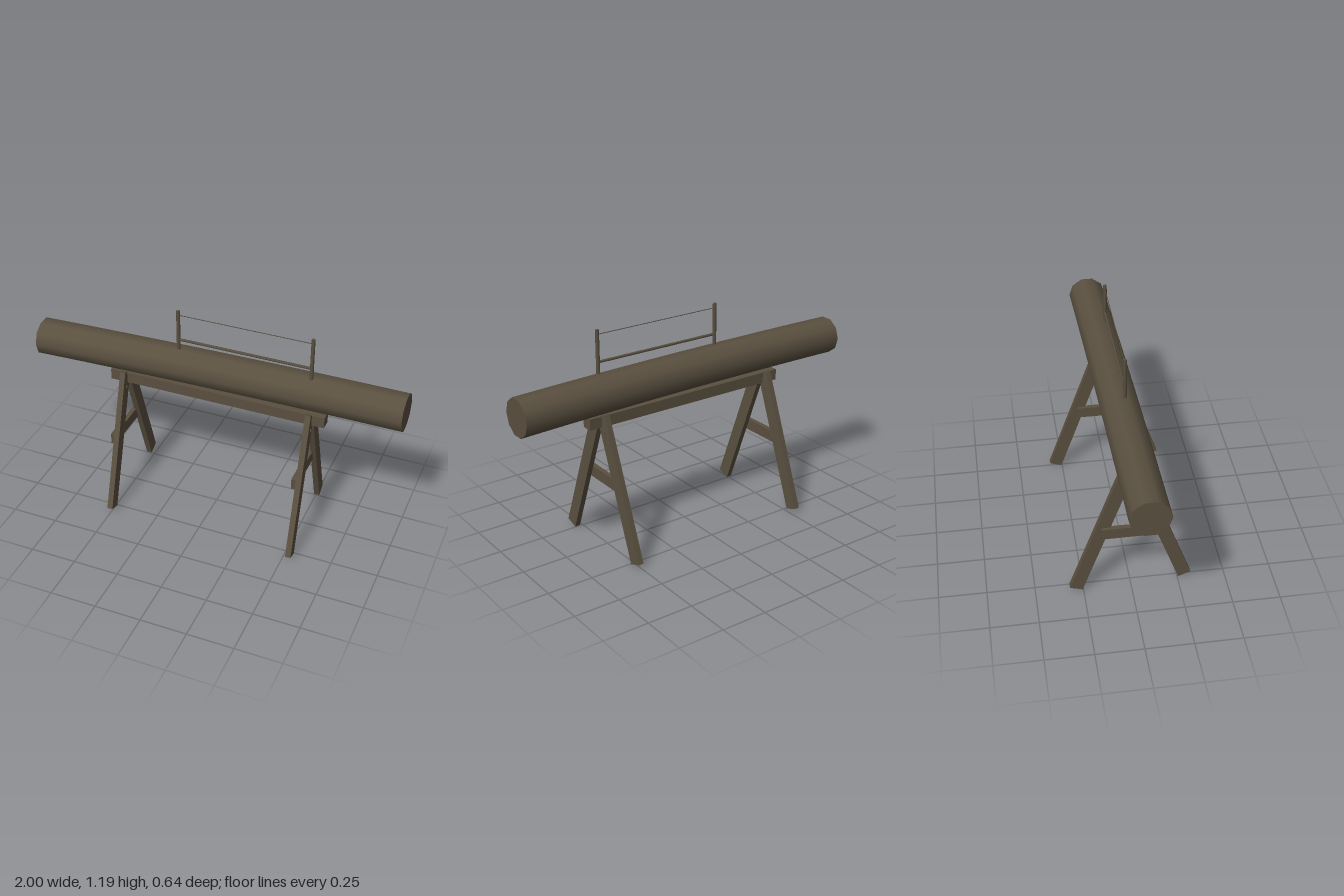
import * as THREE from 'three';

export function createModel() {
  const model = new THREE.Group();
  model.name = 'logOnTrestles';
  const wood = new THREE.MeshStandardMaterial({ color: 0x5a5040 });
  wood.name = 'weatheredWood';

  function add(parent, name, geometry, x, y, z) {
    const mesh = new THREE.Mesh(geometry, wood);
    mesh.name = name;
    mesh.position.set(x, y, z);
    parent.add(mesh);
    return mesh;
  }
  const box = (w, h, d) => new THREE.BoxGeometry(w, h, d);

  // Ten-sided log, gently bowed upward and skewed sideways
  const logGeometry = new THREE.CylinderGeometry(0.102, 0.102, 2, 10, 8).rotateZ(Math.PI / 2);
  const p = logGeometry.attributes.position;
  for (let i = 0; i < p.count; i++) {
    const x = p.getX(i);
    p.setY(i, p.getY(i) + 0.867 - 0.01 * x * x);
    p.setZ(i, p.getZ(i) - 0.004 - 0.0205 * x - 0.002 * x * x);
  }
  add(model, 'log', logGeometry, 0, 0, 0);

  // Beam resting between the two trestles
  add(model, 'beam', box(1.2, 0.06, 0.06), 0, 0.718, 0);

  // Trestles: splayed legs set slightly askew, a cross brace and two pegs
  const splay = THREE.MathUtils.degToRad(20);
  for (const x of [-0.521, 0.517]) {
    const trestle = new THREE.Group();
    trestle.name = x < 0 ? 'rightTrestle' : 'leftTrestle';
    trestle.position.x = x;
    model.add(trestle);
    const legs = new THREE.Group();
    legs.name = 'legs';
    legs.rotation.y = Math.atan(0.05);
    trestle.add(legs);
    for (const s of [1, -1]) {
      const leg = add(legs, s > 0 ? 'frontLeg' : 'backLeg', box(0.03, 0.78, 0.07), 0, 0.382, s * 0.155);
      leg.rotation.x = -s * splay;
      const peg = new THREE.CylinderGeometry(0.008, 0.008, 0.042, 8).rotateZ(Math.PI / 2);
      add(legs, 'peg', peg, 0, 0.667, s * 0.047);
    }
    add(trestle, 'crossBrace', box(0.026, 0.062, 0.31), -0.024, 0.382, 0);
  }

  // Thin railing on top of the log
  const rod = (r, length) => new THREE.CylinderGeometry(r, r, length, 6);
  const railing = new THREE.Group();
  railing.name = 'railing';
  railing.position.z = 0.015;
  model.add(railing);
  for (const x of [-0.205, 0.515]) add(railing, 'post', rod(0.01, 0.29), x, 1.045, 0);
  add(railing, 'lowerRail', rod(0.007, 0.72).rotateZ(Math.PI / 2), 0.155, 1.021, 0);
  add(railing, 'upperWire', rod(0.002, 0.72).rotateZ(Math.PI / 2), 0.155, 1.165, 0);

  return model;
}
